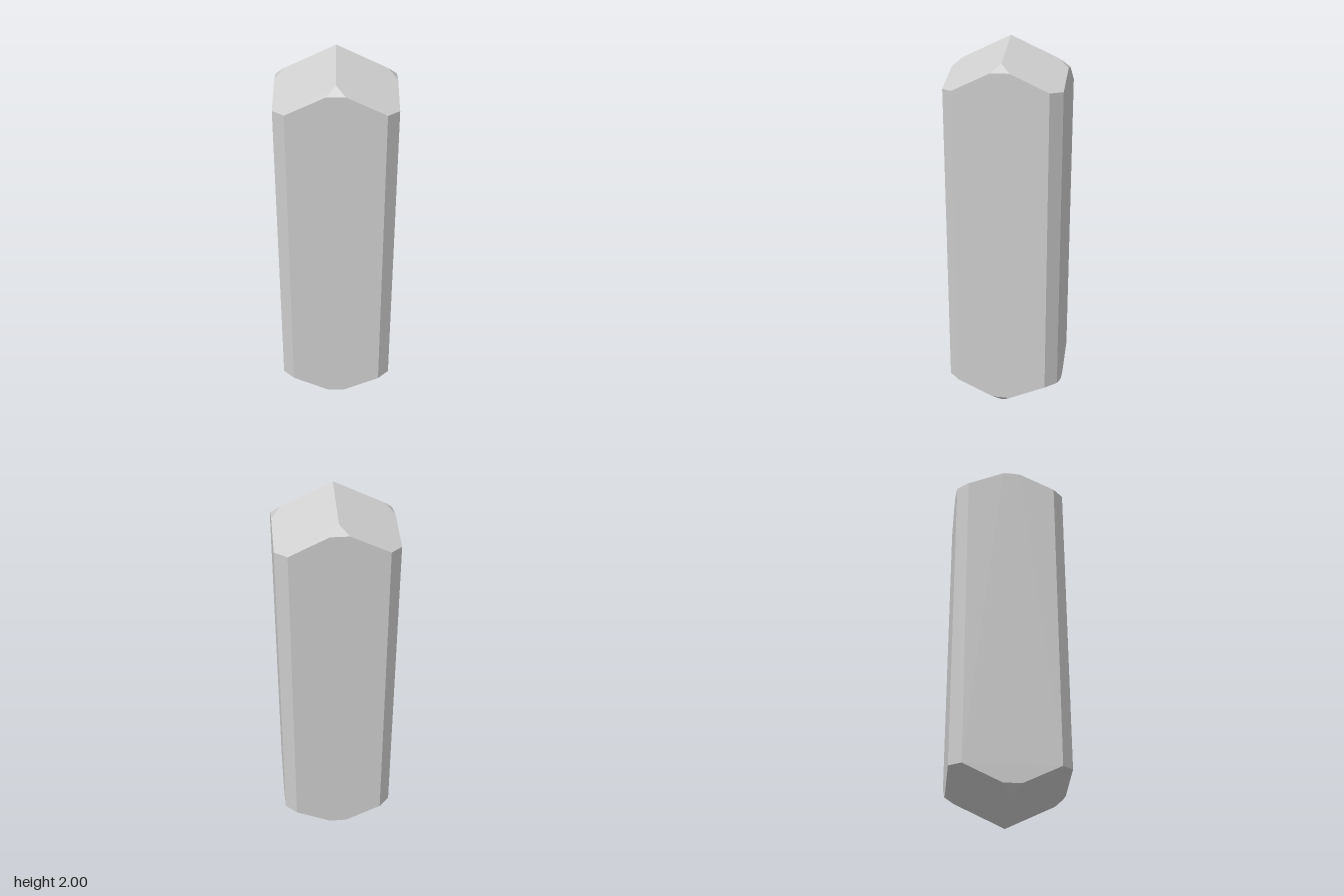
import * as THREE from 'three';
import { ConvexGeometry } from 'three/addons/geometries/ConvexGeometry.js';

// Doubly terminated prismatic crystal: four wide and four narrow prism faces,
// a four-sided pyramid at each end, and a small triangular facet at each pyramid edge.
export function createModel() {
  const slope = 0.64;   // pyramid drop per unit of distance from the axis
  const half = 1;       // half of the height
  const reach = 0.368;  // distance from the axis to the narrow prism faces
  const narrow = 0.041; // half width of a narrow prism face
  const inner = 0.173;  // where the small facet cuts the pyramid edge
  const outer = reach + narrow - inner; // keeps the facet on the wide prism face

  // Corners of one quarter of the outline, as [x, z]
  const corners = [
    [reach, -narrow], [reach, narrow],  // narrow prism face
    [outer, inner], [inner, inner], [inner, outer], // small corner facet
  ];

  const points = [];
  for (const end of [1, -1]) {
    points.push(new THREE.Vector3(0, half + end * half, 0)); // apex
    for (let quarter = 0; quarter < 4; quarter++) {
      for (let [x, z] of corners) {
        const y = half + end * (half - slope * Math.max(Math.abs(x), Math.abs(z)));
        for (let i = 0; i < quarter; i++) [x, z] = [-z, x];
        points.push(new THREE.Vector3(x, y, z));
      }
    }
  }

  const crystal = new THREE.Mesh(
    new ConvexGeometry(points),
    new THREE.MeshStandardMaterial({ color: 0xcccccc, flatShading: true }),
  );
  crystal.name = 'crystal';

  const group = new THREE.Group();
  group.name = 'prismaticCrystal';
  group.add(crystal);
  return group;
}
